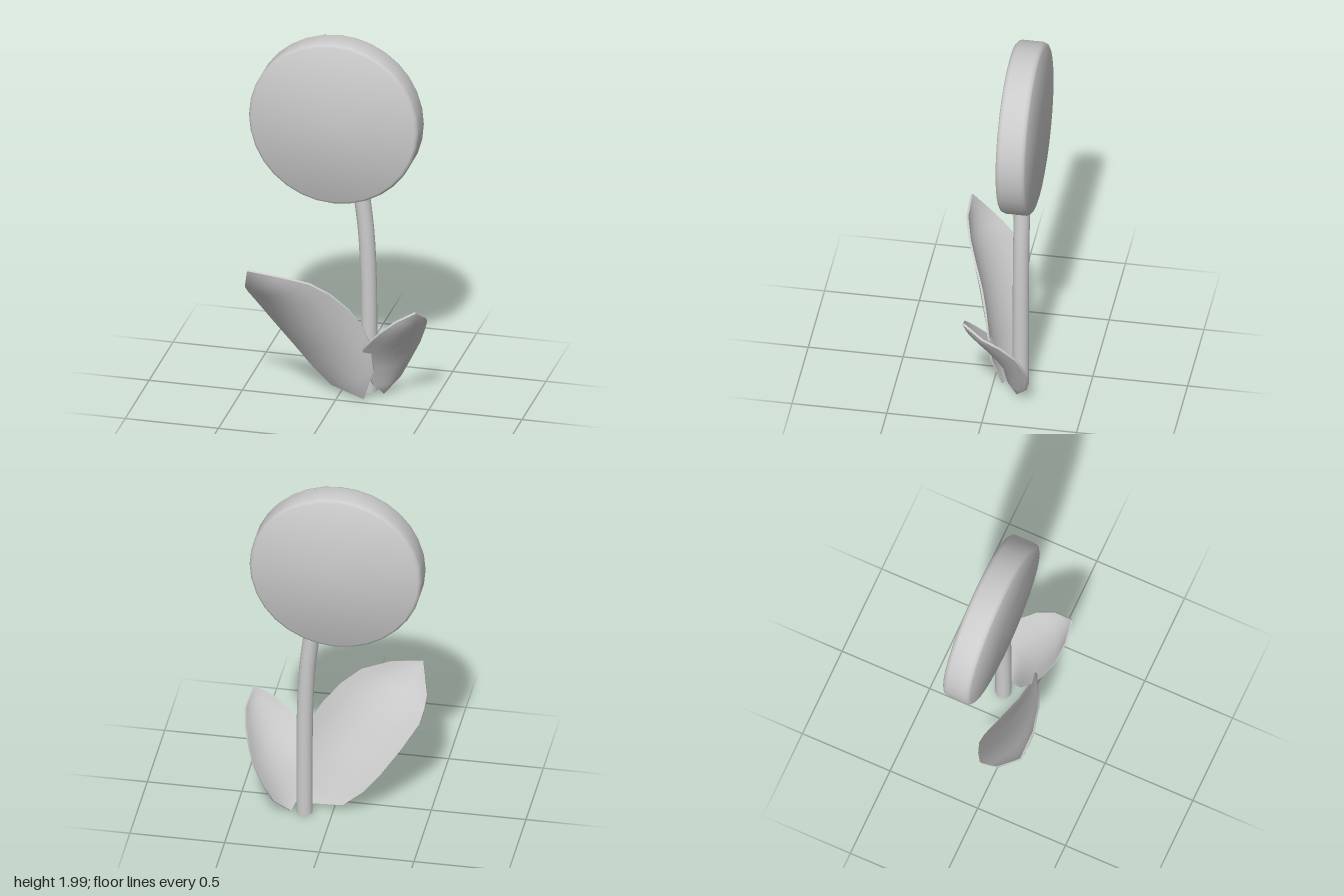
import * as THREE from 'three';
import { toCreasedNormals } from 'three/addons/utils/BufferGeometryUtils.js';

const material = new THREE.MeshStandardMaterial({ color: 0xcccccc });
const V = (p) => new THREE.Vector3(...p);

function addPart(group, name, geometry) {
  const mesh = new THREE.Mesh(geometry, material);
  mesh.name = name;
  group.add(mesh);
  return mesh;
}

// Thin cupped blade spanned between two edges, both running from base to tip
function leafGeometry(leftEdge, rightEdge, bulge, thickness = 0.012, cols = 8) {
  const bow = V(bulge);
  const offset = bow.clone().normalize().multiplyScalar(thickness / 2);
  const ring = 2 * (cols + 1);
  const rows = leftEdge.length;
  const positions = [];
  const indices = [];
  for (let r = 0; r < rows; r++) {
    const fullness = Math.sin((Math.PI * r) / (rows - 1));
    for (let k = 0; k < ring; k++) {
      const front = k <= cols;
      const u = (front ? k : ring - 1 - k) / cols;
      const p = V(leftEdge[r]).lerp(V(rightEdge[r]), u);
      p.addScaledVector(bow, 4 * u * (1 - u) * fullness);
      p.addScaledVector(offset, front ? 1 : -1);
      positions.push(p.x, p.y, p.z);
      if (r < rows - 1) {
        const a = r * ring + k;
        const b = r * ring + ((k + 1) % ring);
        indices.push(a, b, b + ring, a, b + ring, a + ring);
      }
    }
  }
  const geometry = new THREE.BufferGeometry();
  geometry.setAttribute('position', new THREE.Float32BufferAttribute(positions, 3));
  geometry.setIndex(indices);
  return toCreasedNormals(geometry, 0.8);
}

export function createModel() {
  const model = new THREE.Group();
  model.name = 'flower';

  // Round flower head with a softly bevelled rim
  const radius = 0.455, half = 0.078;
  const profile = [
    [0, -half], [radius - 0.018, -half], [radius - 0.006, -half + 0.008], [radius, -half + 0.024],
    [radius, half - 0.024], [radius - 0.006, half - 0.008], [radius - 0.018, half], [0, half],
  ].map(([x, y]) => new THREE.Vector2(x, y));
  const head = addPart(model, 'flowerHead', toCreasedNormals(new THREE.LatheGeometry(profile, 32), 0.7));
  head.rotation.x = Math.PI / 2;
  head.position.set(-0.03, 1.545, -0.135);

  // Gently bent stem with closed ends
  const stemCurve = new THREE.CatmullRomCurve3([
    [0.143, 0.02, -0.145], [0.143, 0.35, -0.145], [0.14, 0.65, -0.145],
    [0.127, 0.92, -0.145], [0.103, 1.13, -0.145],
  ].map(V));
  addPart(model, 'stem', new THREE.TubeGeometry(stemCurve, 20, 0.043, 16));
  for (const [name, t, tilt] of [['stemBottom', 0, Math.PI / 2], ['stemTop', 1, -Math.PI / 2]]) {
    const cap = addPart(model, name, new THREE.CircleGeometry(0.043, 16));
    cap.position.copy(stemCurve.getPoint(t));
    cap.rotation.x = tilt;
  }

  // Large leaf leaning forward to the right of the flower
  addPart(model, 'largeLeaf', leafGeometry(
    [[0.14, 0.01, -0.05], [-0.05, 0.05, -0.1], [-0.16, 0.15, -0.11], [-0.25, 0.26, -0.1], [-0.35, 0.4, -0.06],
      [-0.44, 0.54, -0.01], [-0.455, 0.6, 0.05], [-0.46, 0.65, 0.1], [-0.42, 0.79, 0.21]],
    [[0.14, 0.01, -0.05], [0.205, 0.2, 0], [0.19, 0.36, 0.02], [0.15, 0.46, 0.04], [0.09, 0.56, 0.07],
      [0, 0.66, 0.12], [-0.1, 0.73, 0.165], [-0.25, 0.77, 0.205], [-0.42, 0.79, 0.21]],
    [0, -0.03, 0.07],
  ));

  // Small leaf cupping the stem on its left
  addPart(model, 'smallLeaf', leafGeometry(
    [[0.22, 0.01, -0.14], [0.18, 0.08, -0.08], [0.14, 0.2, -0.04], [0.15, 0.32, 0.03],
      [0.2, 0.39, 0.07], [0.26, 0.46, 0.105], [0.35, 0.54, 0.118], [0.455, 0.6, 0.105]],
    [[0.22, 0.01, -0.14], [0.3, 0.1, -0.2], [0.35, 0.2, -0.217], [0.4, 0.3, -0.2],
      [0.43, 0.38, -0.17], [0.465, 0.47, -0.09], [0.482, 0.53, 0], [0.455, 0.6, 0.105]],
    [0.045, -0.02, 0.035],
  ));

  return model;
}
